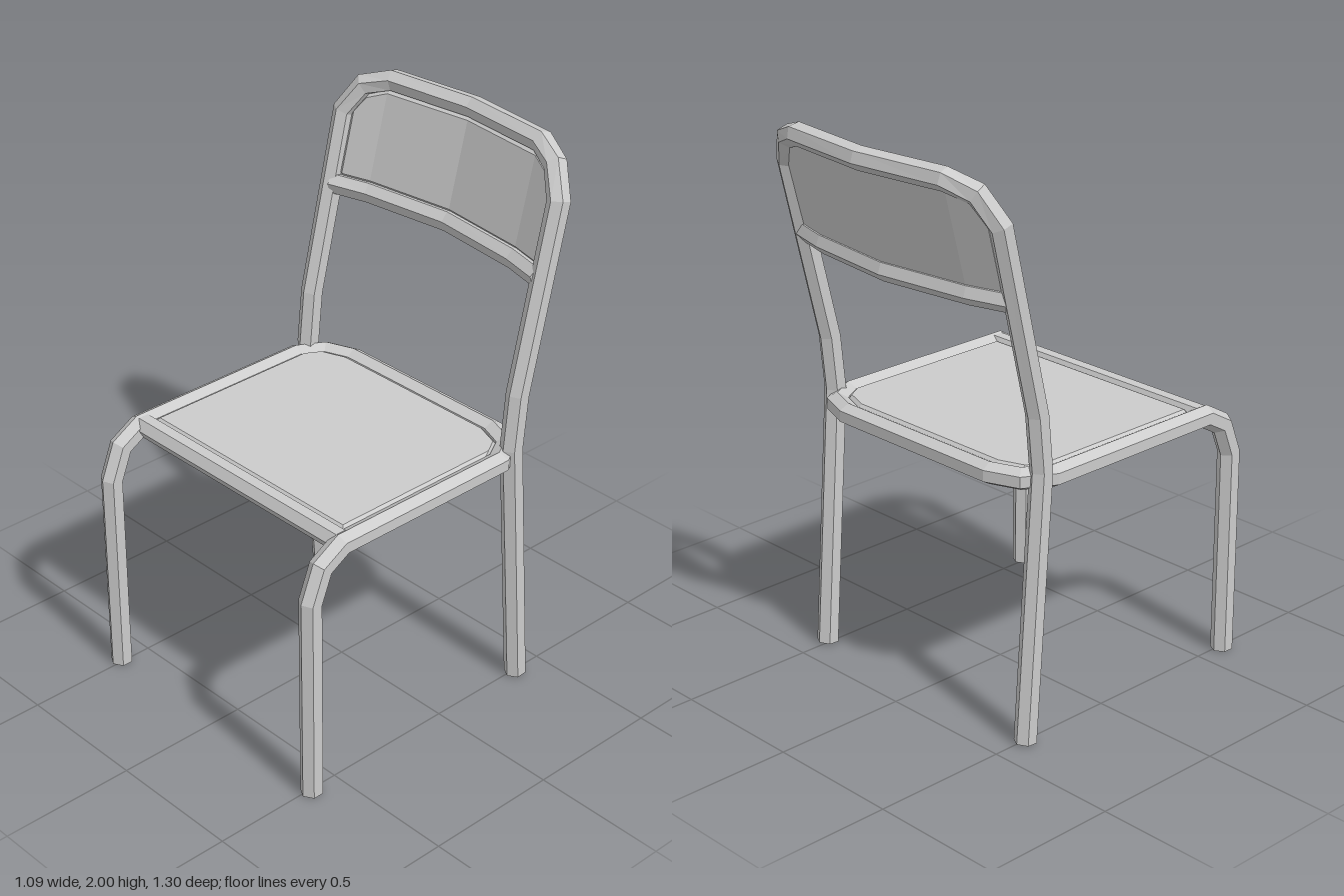
import * as THREE from 'three';

const V = (x, y, z) => new THREE.Vector3(x, y, z);
const R = 0.04; // radius of the six-sided tubing

// Flat-shaded skin through a row of closed rings, with capped ends
function loft(name, rings) {
  const pos = [];
  const tri = (...pts) => pts.forEach((p) => pos.push(p.x, p.y, p.z));
  const n = rings[0].length;
  for (let k = 0; k + 1 < rings.length; k++) {
    const a = rings[k], b = rings[k + 1];
    for (let i = 0; i < n; i++) {
      const j = (i + 1) % n;
      tri(a[i], a[j], b[j]);
      tri(a[i], b[j], b[i]);
    }
  }
  const first = rings[0], last = rings[rings.length - 1];
  for (let i = 1; i + 1 < n; i++) {
    tri(first[0], first[i + 1], first[i]);
    tri(last[0], last[i], last[i + 1]);
  }
  const geo = new THREE.BufferGeometry();
  geo.setAttribute('position', new THREE.Float32BufferAttribute(pos, 3));
  geo.computeVertexNormals();
  const mesh = new THREE.Mesh(geo, new THREE.MeshStandardMaterial({ color: 0xcccccc, flatShading: true }));
  mesh.name = name;
  return mesh;
}

// Hexagonal tube with mitred bends; ref(p) is the direction of one tube edge
function tube(name, path, ref) {
  const rings = path.map((p, k) => {
    const prev = path[k - 1], next = path[k + 1];
    const d1 = (prev ? p.clone().sub(prev) : next.clone().sub(p)).normalize();
    const d2 = (next ? next.clone().sub(p) : d1.clone()).normalize();
    const t = d1.clone().add(d2).normalize();
    const bend = d2.clone().sub(d1).normalize();
    const stretch = 1 / t.dot(d1) - 1;
    const u = ref(p).projectOnPlane(t).normalize();
    const w = t.clone().cross(u);
    return Array.from({ length: 6 }, (_, i) => {
      const a = (i * Math.PI) / 3;
      const o = u.clone().multiplyScalar(R * Math.cos(a)).addScaledVector(w, R * Math.sin(a));
      o.addScaledVector(bend, o.dot(bend) * stretch);
      return o.add(p);
    });
  });
  return loft(name, rings);
}

// Completes a half path or outline across x = 0 (list runs from +x inwards)
function mirrored(half) {
  const other = half.filter((p) => p.x > 0).map((p) => V(-p.x, p.y, p.z)).reverse();
  return [...half, ...other];
}

// Bevelled panel: columns [x, low, high] across x, thickness d0..d1, placed by a rule
function panel(name, half, d0, d1, bevel, place) {
  const cols = [...half.map(([x, l, h]) => [-x, l, h]), ...half.filter((c) => c[0] > 0).reverse()];
  const rim = d1 - bevel;
  const rings = cols.map(([x, l, h], k) => {
    const face = k === 0 || k === cols.length - 1 ? rim : d1;
    return [[l, d0], [h, d0], [h, rim], [h - bevel, face], [l + bevel, face], [l, rim]]
      .map(([v, d]) => place(x, v, d));
  });
  return loft(name, rings);
}

export function createModel() {
  const chair = new THREE.Group();
  chair.name = 'chair';

  // Front legs, side rails and rear seat rail in one bent tube
  const seatHalf = [
    V(0.51, 0, 0.613), V(0.51, 0.77, 0.613), V(0.51, 0.885, 0.567), V(0.51, 0.935, 0.48),
    V(0.51, 0.935, -0.25), V(0.455, 0.935, -0.345), V(0.35, 0.935, -0.385),
  ];
  chair.add(tube('seatFrame', mirrored(seatHalf), (p) => (p.z > 0.5 ? V(0, 1, 1) : V(0, 1, 0))));

  // Rear legs, uprights and curved top rail in one bent tube
  const backHalf = [
    V(0.51, 0.004, -0.375), V(0.51, 0.97, -0.308), V(0.51, 1.17, -0.328), V(0.51, 1.83, -0.487),
    V(0.45, 1.93, -0.53), V(0.35, 1.965, -0.572), V(0, 1.965, -0.61),
  ];
  chair.add(tube('backFrame', mirrored(backHalf), () => V(0, 0.25, 1)));

  // Straight bar under the front of the seat
  chair.add(tube('frontSeatBar', [V(0.5, 0.935, 0.47), V(-0.5, 0.935, 0.47)], () => V(0, 0, 1)));

  // Curved bar under the backrest
  const barHalf = [V(0.5, 1.573, -0.425), V(0.35, 1.573, -0.465), V(0, 1.573, -0.505)];
  chair.add(tube('lowerBackBar', mirrored(barHalf), () => V(0, 0.2, 1)));

  // Seat panel, with chamfered rear corners
  const seatCols = [
    [0.478, -0.44, 0.225], [0.463, -0.44, 0.26], [0.43, -0.44, 0.315], [0.34, -0.44, 0.348],
  ];
  chair.add(panel('seatPanel', seatCols, 0.915, 0.962, 0.013, (x, v, d) => V(x, d, -v)));

  // Backrest panel, leaning and curving with the frame
  const curve = (x) => (x < 0.35 ? -0.505 + (x * 0.04) / 0.35 : -0.465 + ((x - 0.35) * 0.04) / 0.15);
  const backCols = [
    [0.478, 1.605, 1.82], [0.463, 1.605, 1.85], [0.425, 1.605, 1.905], [0.35, 1.605, 1.935], [0, 1.605, 1.935],
  ];
  chair.add(panel('backrestPanel', backCols, -0.015, 0.015, 0.012,
    (x, y, d) => V(x, y, curve(Math.abs(x)) - 0.26 * (y - 1.573) + d)));

  return chair;
}
